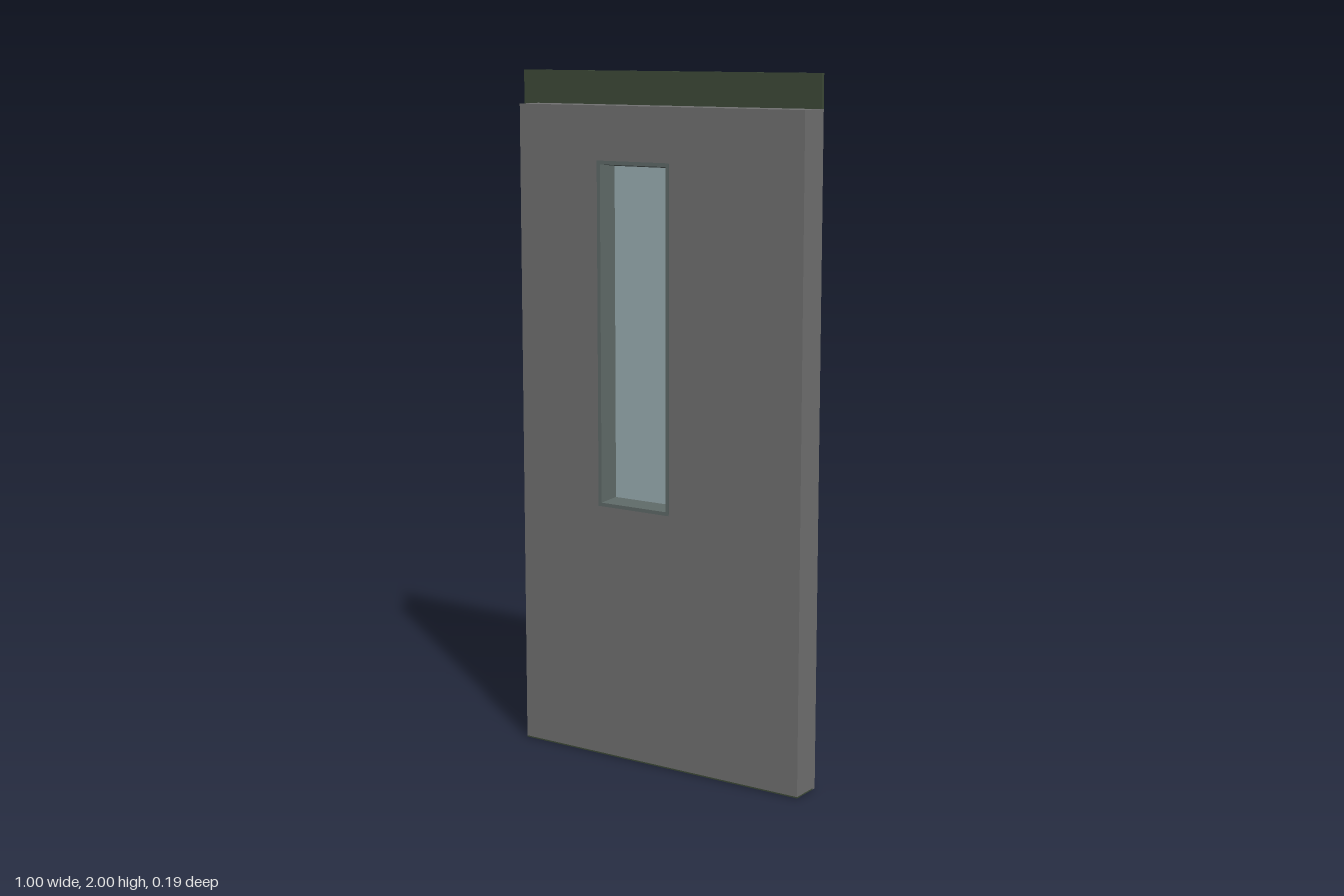
import * as THREE from 'three';

const mat = (color) => new THREE.MeshStandardMaterial({ color });

// Window centre
const WX = -0.046, WY = 1.2545;

export function createModel() {
  const model = new THREE.Group();
  const grey = mat(0x707070), green = mat(0x3d4a38), trimMat = mat(0x5f6a68), glassMat = mat(0x9aaeb2);

  const add = (name, geometry, material, parent = model) => {
    const mesh = new THREE.Mesh(geometry, material);
    mesh.name = name;
    parent.add(mesh);
    return mesh;
  };

  // Flat slab from an outline, from z0 to z1, with the window opening cut out
  const slab = (name, points, z0, z1, material) => {
    const shape = new THREE.Shape(points.map(([x, y]) => new THREE.Vector2(x, y)));
    const w = 0.113, h = 0.489;
    shape.holes.push(new THREE.Path([[-w, -h], [-w, h], [w, h], [w, -h]]
      .map(([x, y]) => new THREE.Vector2(WX + x, WY + y))));
    const g = new THREE.ExtrudeGeometry(shape, { depth: z1 - z0, bevelEnabled: false });
    g.translate(0, 0, z0);
    add(name, g, material);
  };
  const rect = (x0, y0, x1, y1) => [[x0, y0], [x1, y0], [x1, y1], [x0, y1]];
  const box = (name, x0, x1, y0, y1, z0, z1, material) => {
    const g = new THREE.BoxGeometry(x1 - x0, y1 - y0, z1 - z0);
    g.translate((x0 + x1) / 2, (y0 + y1) / 2, (z0 + z1) / 2);
    return add(name, g, material);
  };

  // Door leaf, overlapping rebate sheet and grey back skin
  slab('doorLeaf', rect(-0.45, 0.004, 0.5, 1.905), -0.01, 0.077, grey);
  slab('rebateSheet', [[-0.5, 0], [0.499, 0], [0.499, 1.905], [0.5, 1.905], [0.5, 2], [-0.5, 2]],
    -0.021, -0.01, green);
  slab('backSkin', rect(-0.5, 0, 0.41, 1.905), -0.022, -0.021, grey);
  box('hingeEdge', 0.499, 0.5, 0, 1.905, -0.021, -0.01, grey);
  box('bottomSeal', -0.45, 0.5, 0, 0.004, -0.01, 0.077, green);

  // Window trim: rectangular rings [half width, half height, z] joined by quads
  const trimGeometry = (rings) => {
    const pos = [];
    const corner = ([w, h, z], i) => [[-w, -h, z], [w, -h, z], [w, h, z], [-w, h, z]][i % 4];
    for (let r = 0; r < rings.length - 1; r++) {
      for (let i = 0; i < 4; i++) {
        const a = corner(rings[r], i), b = corner(rings[r], i + 1);
        const c = corner(rings[r + 1], i + 1), d = corner(rings[r + 1], i);
        pos.push(...a, ...b, ...c, ...a, ...c, ...d);
      }
    }
    const g = new THREE.BufferGeometry();
    g.setAttribute('position', new THREE.Float32BufferAttribute(pos, 3));
    g.computeVertexNormals();
    return g;
  };
  const windowGroup = new THREE.Group();
  windowGroup.name = 'window';
  windowGroup.position.set(WX, WY, 0.0275);
  model.add(windowGroup);
  const trim = trimGeometry([
    [0.114, 0.49, 0.0485], [0.122, 0.4975, 0.0635], [0.111, 0.487, 0.0635], [0.103, 0.48, 0.002],
  ]);
  add('frontTrim', trim, trimMat, windowGroup);
  add('backTrim', trim, trimMat, windowGroup).rotation.y = Math.PI;
  add('glass', new THREE.BoxGeometry(0.21, 0.964, 0.006), glassMat, windowGroup);

  // Bent pull plate on the back, extruded upward from its plan (x, -z)
  const plan = [[-0.441, 0.084], [-0.404, 0.075], [-0.281, 0.075], [-0.257, 0.06],
    [-0.257, 0.072], [-0.281, 0.087], [-0.404, 0.087], [-0.441, 0.095]];
  const plate = new THREE.ExtrudeGeometry(
    new THREE.Shape(plan.map(([x, y]) => new THREE.Vector2(x, y))), { depth: 0.48, bevelEnabled: false });
  plate.rotateX(-Math.PI / 2);
  plate.translate(0, 0.69, 0);
  add('handlePlate', plate, green);
  box('handleStem', -0.406, -0.398, 0.69, 1.17, -0.077, -0.021, green);

  return model;
}
